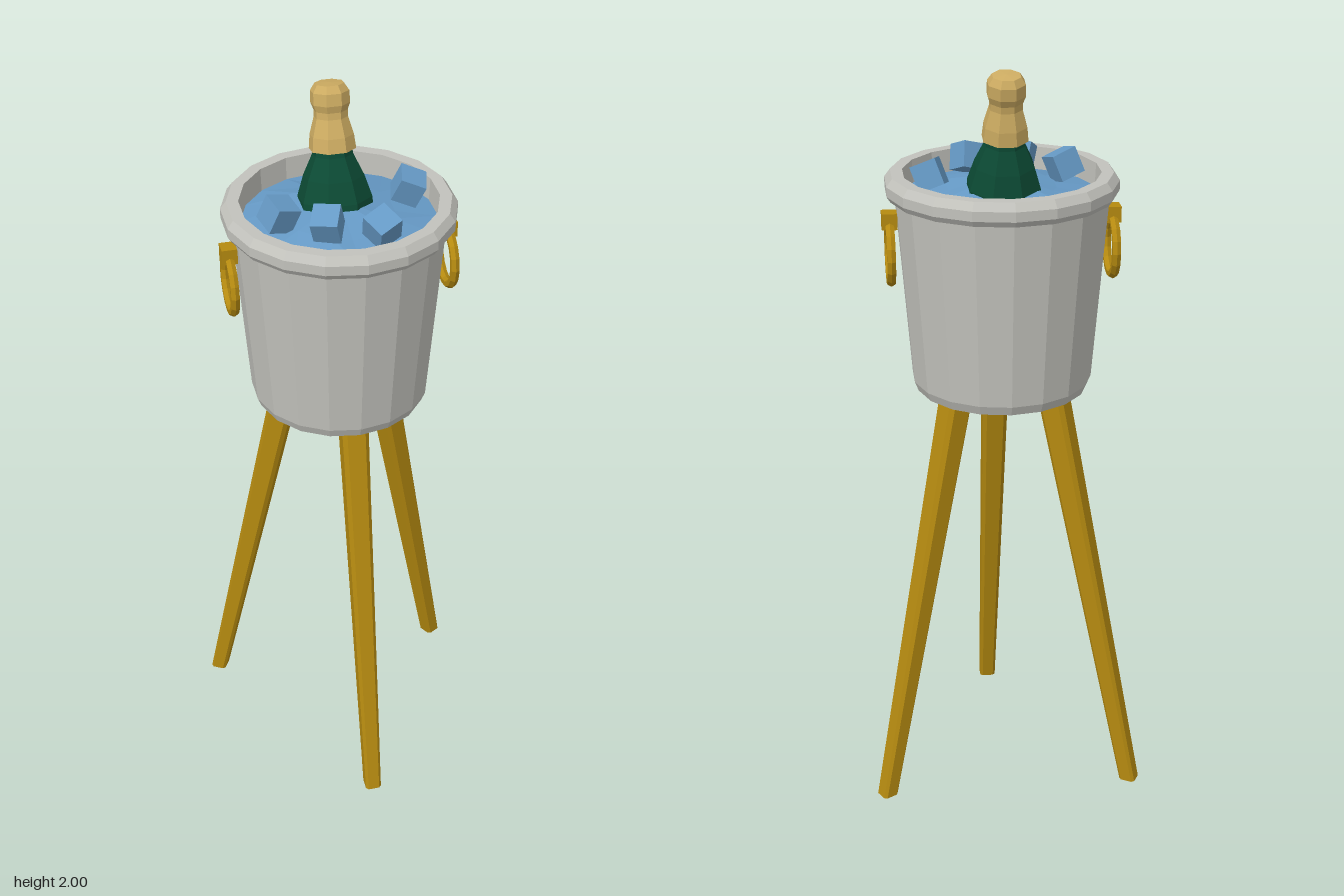
import * as THREE from 'three';

const material = (name, color) => {
  const m = new THREE.MeshStandardMaterial({ color });
  m.name = name;
  return m;
};

// Give every face its own normal
function faceted(geometry) {
  const g = geometry.index ? geometry.toNonIndexed() : geometry;
  g.computeVertexNormals();
  return g;
}

function part(parent, name, geometry, mat) {
  const mesh = new THREE.Mesh(faceted(geometry), mat);
  mesh.name = name;
  parent.add(mesh);
  return mesh;
}

const lathe = (points, sides, start = 0) =>
  new THREE.LatheGeometry(points.map(([r, y]) => new THREE.Vector2(r, y)), sides, start);

// Apply a rule to each vertex of a geometry
function reshape(geometry, rule) {
  const p = geometry.attributes.position;
  const v = new THREE.Vector3();
  for (let i = 0; i < p.count; i++) {
    rule(v.fromBufferAttribute(p, i));
    p.setXYZ(i, v.x, v.y, v.z);
  }
  return geometry;
}

// Bevelled square post, splayed outward and thicker at the top
function legGeometry() {
  const h = 0.0225, c = 0.0155;
  const section = new THREE.Shape(
    [[h, -c], [h, c], [c, h], [-c, h], [-h, c], [-h, -c], [-c, -h], [c, -h]]
      .map(([x, y]) => new THREE.Vector2(x, y)));
  const g = new THREE.ExtrudeGeometry(section, { depth: 1, bevelEnabled: false });
  g.rotateX(-Math.PI / 2);
  return reshape(g, (v) => {
    const t = v.y, scale = 1 + 0.6 * t;
    v.set(v.x * scale, t * 1.165, v.z * scale + THREE.MathUtils.lerp(0.396, 0.144, t));
  });
}

export function createModel() {
  const silver = material('silver', 0xc2c2bc);
  const gold = material('gold', 0xb58a10);
  const ice = material('ice blue', 0x669ac6);
  const green = material('bottle green', 0x0c4a34);
  const foil = material('pale gold foil', 0xcdac62);

  const model = new THREE.Group();
  model.name = 'iceBucketOnStand';
  const stand = new THREE.Group();
  stand.name = 'bucketAndStand';
  stand.position.z = -0.06;
  model.add(stand);

  // Three splayed legs
  for (let i = 0; i < 3; i++) {
    part(stand, 'leg', legGeometry(), gold).rotation.y = i * Math.PI * 2 / 3;
  }

  // Bucket with a rolled rim and an inner wall
  part(stand, 'bucket', lathe([
    [0, 1.155], [0.226, 1.155], [0.236, 1.18], [0.274, 1.67],
    [0.288, 1.67], [0.298, 1.685], [0.298, 1.71], [0.283, 1.73],
    [0.252, 1.73], [0.247, 1.6],
  ], 18), silver);

  // Ring handles with their brackets
  for (const side of [-1, 1]) {
    const handle = new THREE.Group();
    handle.name = side > 0 ? 'leftHandle' : 'rightHandle';
    handle.position.x = side * 0.286;
    const ring = part(handle, 'ring', new THREE.TorusGeometry(0.075, 0.0125, 6, 16), gold);
    ring.rotation.y = Math.PI / 2;
    ring.position.y = 1.524;
    const bracket = part(handle, 'bracket', new THREE.BoxGeometry(0.04, 0.042, 0.042), gold);
    bracket.position.y = 1.61;
    stand.add(handle);
  }

  // Uneven mound of ice filling the bucket
  const mound = lathe([[0.249, 1.67], [0.14, 1.695], [0, 1.715]], 18);
  reshape(mound, (v) => {
    if (Math.hypot(v.x, v.z) < 0.2) v.y += 0.009 * Math.sin(v.x * 23 + 1) * Math.cos(v.z * 19);
  });
  part(stand, 'iceMound', mound, ice);

  // Loose ice cubes: position, then tilt
  const cubes = [
    [-0.163, 1.73, -0.017, 0.25, 0.3, -0.4],
    [-0.06, 1.735, 0.065, 0.45, -0.35, 0.25],
    [0.07, 1.725, 0.095, 0.4, 0.5, 0.1],
    [0.184, 1.73, -0.08, 0.2, -0.25, -0.35],
  ];
  for (const [x, y, z, rx, ry, rz] of cubes) {
    const cube = part(model, 'iceCube', new THREE.BoxGeometry(0.068, 0.068, 0.068), ice);
    cube.position.set(x, y, z);
    cube.rotation.set(rx, ry, rz);
  }

  // Bottle leaning back in the ice
  const bottle = new THREE.Group();
  bottle.name = 'bottle';
  bottle.position.set(0, 1.7, -0.108);
  bottle.rotation.x = -0.19;
  part(bottle, 'shoulder', lathe([
    [0.1, -0.08], [0.096, 0.01], [0.078, 0.065], [0.052, 0.12], [0.047, 0.15],
  ], 8, Math.PI / 8), green);
  part(bottle, 'foilCap', lathe([
    [0.046, 0.132], [0.06, 0.134], [0.056, 0.17], [0.043, 0.215],
    [0.043, 0.232], [0.05, 0.25], [0.049, 0.28], [0.037, 0.298], [0, 0.3],
  ], 8, Math.PI / 8), foil);
  model.add(bottle);

  return model;
}
